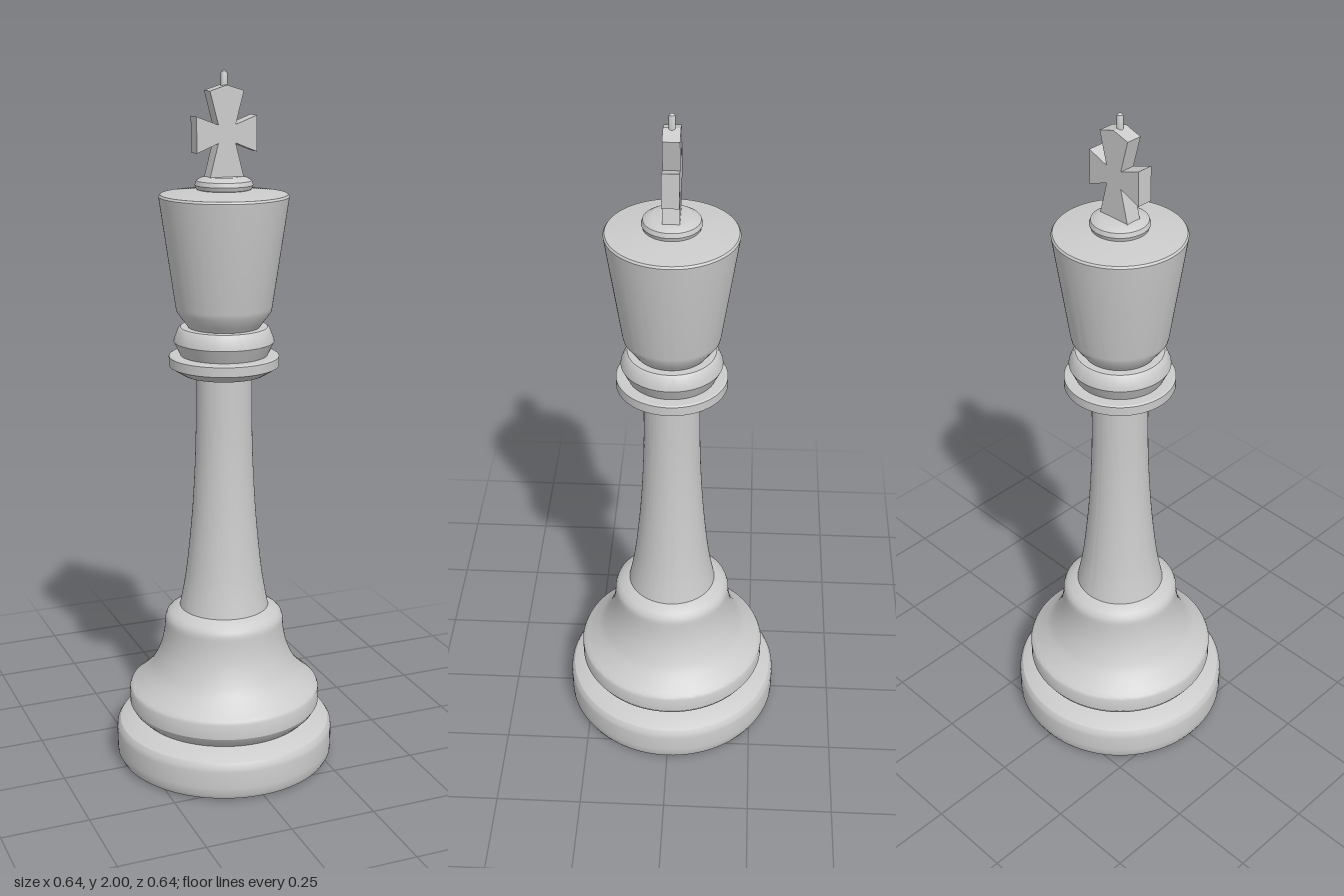
import * as THREE from 'three';
import { toCreasedNormals } from 'three/addons/utils/BufferGeometryUtils.js';

const material = new THREE.MeshStandardMaterial({ color: 0xcccccc });

// Smooth a run of [radius, height] points into a curve
const smooth = (pts, n) =>
  new THREE.SplineCurve(pts.map(([r, y]) => new THREE.Vector2(r, y))).getPoints(n).map(p => [p.x, p.y]);

// Turned part from a [radius, height] profile, bottom to top
function turned(name, profile, segments = 96) {
  const points = profile.map(([r, y]) => new THREE.Vector2(r, y));
  const geometry = toCreasedNormals(new THREE.LatheGeometry(points, segments), 0.5);
  const mesh = new THREE.Mesh(geometry, material);
  mesh.name = name;
  return mesh;
}

export function createModel() {
  const model = new THREE.Group();
  model.name = 'chessKing';

  // Foot: wide disc with rounded rim
  model.add(turned('foot', [
    [0, 0], [0.3, 0], [0.312, 0.006], [0.319, 0.02], [0.32, 0.04], [0.32, 0.09],
    [0.318, 0.103], [0.31, 0.115], [0.265, 0.137], [0, 0.14],
  ]));

  // Bell: flared skirt narrowing to a shoulder
  model.add(turned('bell', [
    [0, 0.137], [0.252, 0.137], [0.27, 0.155], [0.28, 0.172], [0.28, 0.215],
    ...smooth([[0.276, 0.224], [0.25, 0.246], [0.216, 0.283], [0.19, 0.335], [0.177, 0.385], [0.172, 0.435]], 20),
    [0.168, 0.447], [0.158, 0.457], [0.125, 0.475], [0, 0.475],
  ]));

  // Stem: tapering concave column
  model.add(turned('stem', smooth([
    [0.13, 0.468], [0.113, 0.56], [0.1, 0.67], [0.089, 0.8], [0.081, 0.97], [0.079, 1.17],
  ], 24)));

  // Collar and ring below the crown
  model.add(turned('collar', [
    [0, 1.16], [0.08, 1.16], [0.118, 1.17], [0.155, 1.193], [0.155, 1.22], [0.15, 1.223], [0, 1.228],
  ]));
  model.add(turned('ring', [
    [0, 1.222], [0.122, 1.222], [0.127, 1.232], [0.141, 1.262], [0.14, 1.268], [0.128, 1.298],
    [0.122, 1.303], [0, 1.305],
  ]));

  // Crown: flaring cup with a slightly domed top
  model.add(turned('crown', [
    [0, 1.302], [0.1, 1.302], [0.11, 1.316], [0.132, 1.346], [0.135, 1.36],
    [0.178, 1.655], [0.179, 1.664], [0.175, 1.67], [0.07, 1.683], [0, 1.683],
  ]));
  model.add(turned('crownButton', [
    [0.065, 1.678], [0.076, 1.684], [0.08, 1.695], [0.076, 1.707], [0.065, 1.714], [0.05, 1.718], [0, 1.718],
  ], 64));

  // Cross: flared arms, right half mirrored to the left
  const half = [
    [0.049, 1.717], [0.025, 1.808], [0.087, 1.783], [0.087, 1.88], [0.025, 1.857], [0.049, 1.946],
  ];
  const outline = [...half, [0, 1.961], ...half.map(([x, y]) => [-x, y]).reverse()];
  const shape = new THREE.Shape(outline.map(([x, y]) => new THREE.Vector2(x, y)));
  const depth = 0.045;
  const cross = new THREE.Mesh(
    new THREE.ExtrudeGeometry(shape, { depth, bevelEnabled: false }).translate(0, 0, -depth / 2), material);
  cross.name = 'cross';
  model.add(cross);

  // Small rounded pin on the cross
  model.add(turned('pin', [
    [0.009, 1.95], [0.009, 1.991], [0.0075, 1.996], [0.004, 1.999], [0, 2],
  ], 20));

  return model;
}
